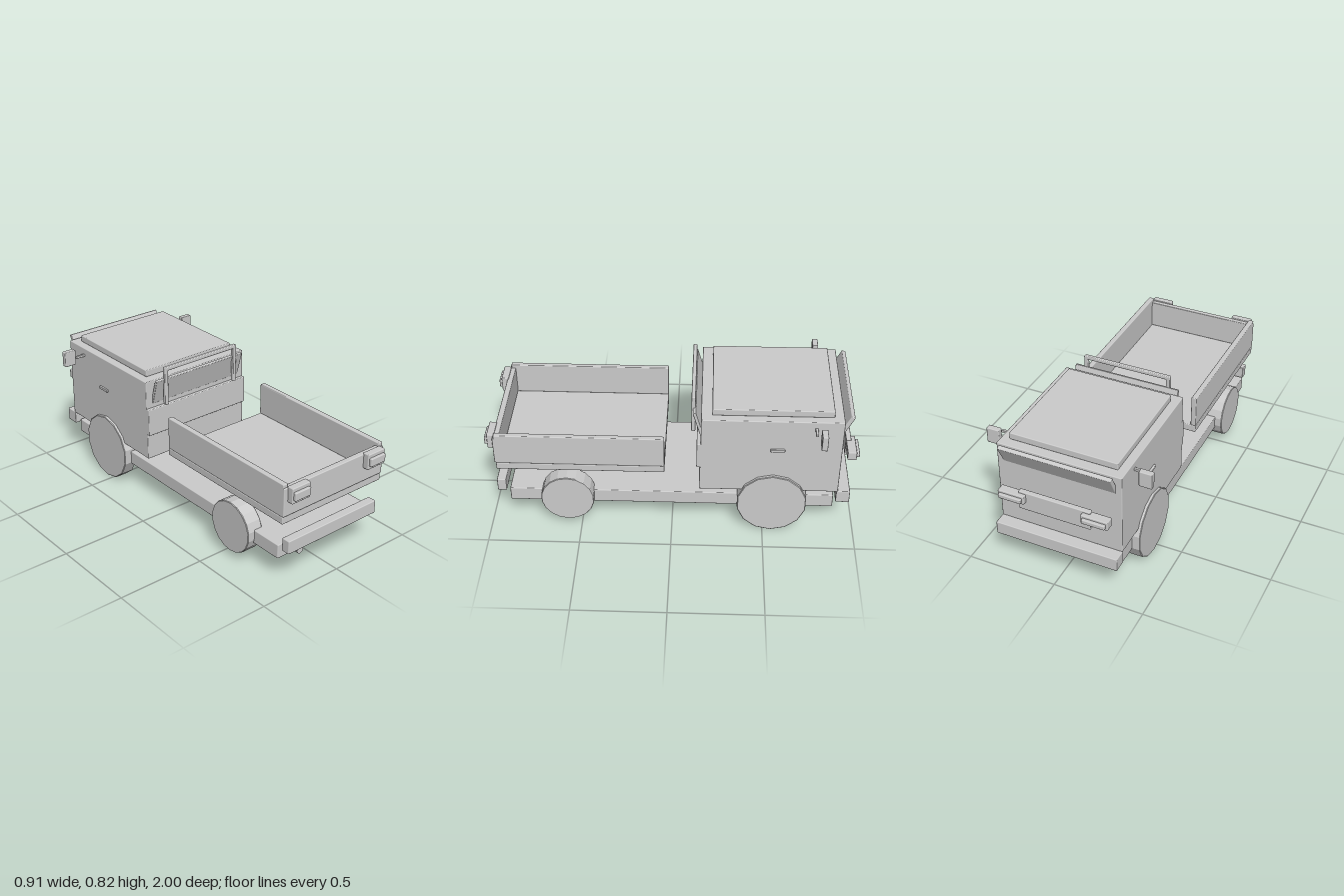
import * as THREE from 'three';
import { RoundedBoxGeometry } from 'three/addons/geometries/RoundedBoxGeometry.js';

const grey = new THREE.MeshStandardMaterial({ color: 0xcccccc });
const faceted = new THREE.MeshStandardMaterial({ color: 0xcccccc, flatShading: true });

export function createModel() {
  const truck = new THREE.Group();
  truck.name = 'truck';

  function add(name, geometry, material = grey) {
    const mesh = new THREE.Mesh(geometry, material);
    mesh.name = name;
    truck.add(mesh);
    return mesh;
  }

  // Softly bevelled box given by its extents
  function box(name, x0, x1, y0, y1, z0, z1) {
    const size = [x1 - x0, y1 - y0, z1 - z0];
    const bevel = Math.min(0.005, Math.min(...size) * 0.25);
    const mesh = add(name, new RoundedBoxGeometry(...size, 2, bevel));
    mesh.position.set((x0 + x1) / 2, (y0 + y1) / 2, (z0 + z1) / 2);
    return mesh;
  }

  // Box centred across the width
  const wide = (name, halfWidth, ...rest) => box(name, -halfWidth, halfWidth, ...rest);

  // The same box on both sides
  function pair(name, x0, x1, ...rest) {
    box(name + 'Left', x0, x1, ...rest);
    box(name + 'Right', -x1, -x0, ...rest);
  }

  // Wheels: closed outside, recessed on the inner side
  function wheelPair(name, radius, inner, outer, y, z, sides) {
    const w = outer - inner;
    const profile = [[0, w * 0.45], [radius * 0.7, w * 0.45], [radius * 0.74, 0],
      [radius * 0.98, 0], [radius, w * 0.04], [radius, w * 0.96], [radius * 0.98, w], [0, w]];
    // Lathe profile runs upward along the outside, so the faces point outward
    const geometry = new THREE.LatheGeometry(
      profile.map(([r, h]) => new THREE.Vector2(r, h)), sides, Math.PI / sides);
    for (const side of [1, -1]) {
      const wheel = add(name + (side > 0 ? 'Left' : 'Right'), geometry, faceted);
      wheel.rotation.z = -side * Math.PI / 2;
      wheel.position.set(side * inner, y, z);
    }
  }

  // Chassis, bumpers and exhaust
  wide('chassis', 0.315, 0.137, 0.217, -0.88, 0.89);
  wide('rearBumper', 0.308, 0.195, 0.27, 0.91, 0.96);
  wide('cabBumper', 0.343, 0.195, 0.27, -0.965, -0.89);
  const exhaust = add('exhaust', new THREE.CylinderGeometry(0.02, 0.02, 0.12, 20));
  exhaust.rotation.x = Math.PI / 2;
  exhaust.position.set(-0.222, 0.184, 0.893);

  wheelPair('cabWheel', 0.191, 0.284, 0.36, 0.187, -0.543, 14);
  wheelPair('rearWheel', 0.1455, 0.262, 0.357, 0.185, 0.57, 18);

  // Cargo bed, open towards the cab
  wide('bedFloor', 0.343, 0.376, 0.417, 0.04, 0.945);
  pair('bedSide', 0.313, 0.343, 0.417, 0.6, 0.04, 0.945);
  wide('tailgate', 0.343, 0.42, 0.58, 0.92, 0.952);
  pair('tailLight', 0.2, 0.319, 0.5, 0.587, 0.945, 0.985);
  pair('tailLightLens', 0.209, 0.312, 0.52, 0.566, 0.98, 1.0);

  // Cab
  wide('cab', 0.343, 0.268, 0.735, -0.898, -0.152);
  wide('cabBackPanel', 0.343, 0.417, 0.575, -0.17, -0.131);
  wide('cabBackLower', 0.343, 0.268, 0.417, -0.17, -0.147);
  wide('roof', 0.298, 0.734, 0.773, -0.846, -0.21);
  pair('doorHandle', 0.335, 0.354, 0.54, 0.556, -0.597, -0.52);

  // Tilted window panels, leaning outward at the top
  const rearWindow = wide('rearWindow', 0.302, -0.075, 0.075, -0.009, 0.009);
  rearWindow.position.set(0, 0.673, -0.137);
  rearWindow.rotation.x = 0.28;
  const visor = wide('windscreen', 0.31, -0.065, 0.065, -0.012, 0.012);
  visor.position.set(0, 0.69, -0.912);
  visor.rotation.x = -0.46;

  // Grille and headlights
  wide('grille', 0.2, 0.41, 0.52, -0.96, -0.932);
  pair('headlight', 0.157, 0.305, 0.46, 0.51, -0.983, -0.934);
  pair('headlightLens', 0.168, 0.295, 0.473, 0.498, -1.0, -0.98);

  // Mirrors
  pair('mirrorArm', 0.335, 0.398, 0.684, 0.699, -0.76, -0.745);
  pair('mirror', 0.386, 0.457, 0.638, 0.727, -0.805, -0.773);

  // Rack behind the cab
  pair('rackPost', 0.229, 0.251, 0.59, 0.8, -0.122, -0.1);
  wide('rackBar', 0.251, 0.792, 0.813, -0.122, -0.1);

  return truck;
}
